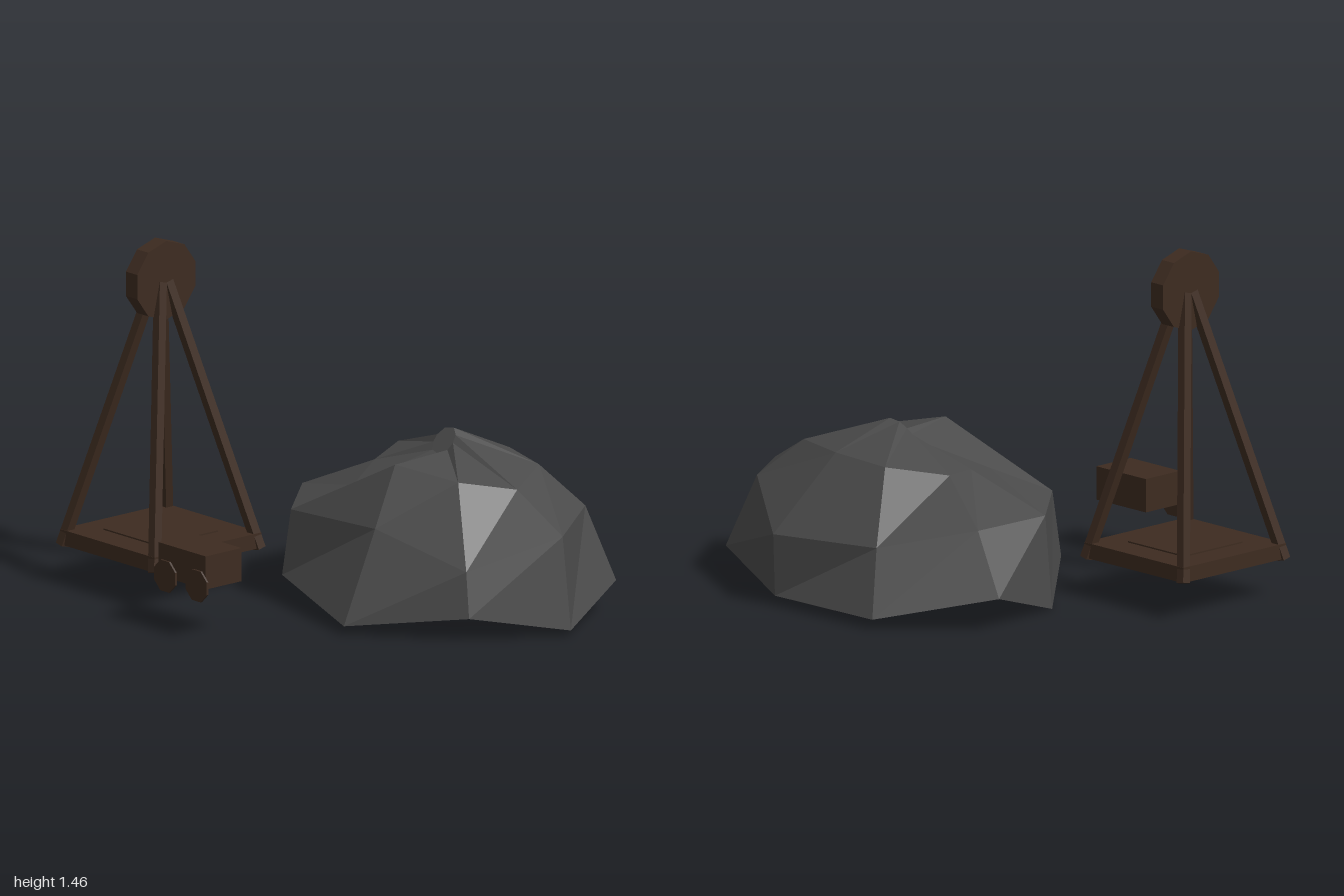
import * as THREE from 'three';

const wood = new THREE.MeshStandardMaterial({ name: 'darkWood', color: 0x3d2b20, flatShading: true });
const stone = new THREE.MeshStandardMaterial({ name: 'greyStone', color: 0x4a4a4a, flatShading: true });
const cord = new THREE.MeshStandardMaterial({ name: 'darkRope', color: 0x241c17, flatShading: true });

function part(parent, name, geometry, material, x = 0, y = 0, z = 0) {
  const mesh = new THREE.Mesh(geometry, material);
  mesh.name = name;
  mesh.position.set(x, y, z);
  parent.add(mesh);
  return mesh;
}

// Square beam between two points
function beam(parent, name, a, b, size) {
  const dir = b.clone().sub(a);
  const mesh = part(parent, name, new THREE.BoxGeometry(size, dir.length(), size), wood);
  mesh.position.copy(a).add(b).multiplyScalar(0.5);
  mesh.quaternion.setFromUnitVectors(new THREE.Vector3(0, 1, 0), dir.normalize());
}

// Closed faceted skin over rings of points
function loft(rings) {
  const n = rings[0].length;
  const points = rings.flat();
  const index = [];
  for (let r = 0; r < rings.length - 1; r++) {
    for (let i = 0; i < n; i++) {
      const a = r * n + i, b = r * n + (i + 1) % n;
      index.push(a, a + n, b, a + n, b + n, b);
    }
  }
  const middle = (ring) => [0, 1, 2].map((k) => ring.reduce((s, p) => s + p[k], 0) / n);
  const low = points.push(middle(rings[0])) - 1;
  const high = points.push(middle(rings[rings.length - 1])) - 1;
  const top = (rings.length - 1) * n;
  for (let i = 0; i < n; i++) {
    const j = (i + 1) % n;
    index.push(low, i, j, high, top + j, top + i);
  }
  const g = new THREE.BufferGeometry();
  g.setAttribute('position', new THREE.Float32BufferAttribute(points.flat(), 3));
  g.setIndex(index);
  const flat = g.toNonIndexed();
  flat.computeVertexNormals();
  return flat;
}

function createRock() {
  const foot = [
    [1, 0.025, -0.295], [0.8, 0.1, 0.08], [0.37, 0.035, 0.38],
    [-0.18, 0.11, 0.23], [-0.47, 0, -0.1], [-0.595, 0.14, -0.52],
    [-0.2, 0.04, -0.855], [0.355, 0.04, -0.87], [0.83, 0.13, -0.69],
  ];
  const shoulder = [
    [0.95, 0.41, -0.295], [0.76, 0.285, 0.06], [0.33, 0.4, 0.175],
    [-0.16, 0.385, 0.2], [-0.43, 0.385, -0.1], [-0.42, 0.385, -0.47],
    [-0.1, 0.3, -0.735], [0.355, 0.3, -0.88], [0.72, 0.435, -0.62],
  ];
  const brow = [
    [0.67, 0.55, -0.295], [0.54, 0.59, -0.09], [0.3, 0.64, 0.04],
    [0, 0.485, 0.005], [-0.1, 0.535, -0.2], [-0.18, 0.56, -0.4],
    [0, 0.595, -0.59], [0.3, 0.6, -0.58], [0.56, 0.595, -0.51],
  ];
  // Small crest tilted to the front, its corners in line with the brow
  const crest = brow.map(([x, , z]) => {
    const t = Math.atan2(z + 0.295, x - 0.22);
    const dz = 0.042 * Math.sin(t);
    return [0.22 + 0.055 * Math.cos(t), 0.665 - 1.2 * dz, -0.295 + dz];
  });
  return loft([foot, shoulder, brow, crest]);
}

function createTower() {
  const tower = new THREE.Group();
  tower.name = 'hoistTower';
  tower.position.set(-0.697, 0, 0.432);
  part(tower, 'platform', new THREE.BoxGeometry(0.58, 0.064, 0.58), wood, 0, 0.193, 0);
  part(tower, 'shaftCover', new THREE.BoxGeometry(0.33, 0.01, 0.33), wood, 0, 0.226, 0);
  for (const sx of [-1, 1]) {
    for (const sz of [-1, 1]) {
      beam(tower, 'towerLeg',
        new THREE.Vector3(sx * 0.284, 0.159, sz * 0.284),
        new THREE.Vector3(sx * 0.018, 1.28, sz * 0.018), 0.038);
    }
  }
  // Ten-sided hoist wheel, one corner up
  const wheel = new THREE.CylinderGeometry(0.166, 0.166, 0.07, 10, 1, false, Math.PI / 2);
  part(tower, 'hoistWheel', wheel.rotateZ(Math.PI / 2), wood, 0, 1.289, 0);
  part(tower, 'rope', new THREE.BoxGeometry(0.006, 0.95, 0.006), cord, 0, 0.725, 0);
  return tower;
}

function createCart() {
  const cart = new THREE.Group();
  cart.name = 'mineCart';
  cart.position.set(-0.07, 0, 0.771);
  part(cart, 'cartBody', new THREE.BoxGeometry(0.29, 0.14, 0.194), wood, 0, 0.288, 0);
  for (const x of [-0.097, 0.097]) {
    const wheel = new THREE.CylinderGeometry(0.07, 0.07, 0.009, 8, 1, false, Math.PI / 8);
    part(cart, 'cartWheel', wheel.rotateX(Math.PI / 2), wood, x, 0.226, 0.102);
  }
  return cart;
}

export function createModel() {
  const model = new THREE.Group();
  model.name = 'mine';
  part(model, 'rockMound', createRock(), stone);
  model.add(createTower(), createCart());
  return model;
}
